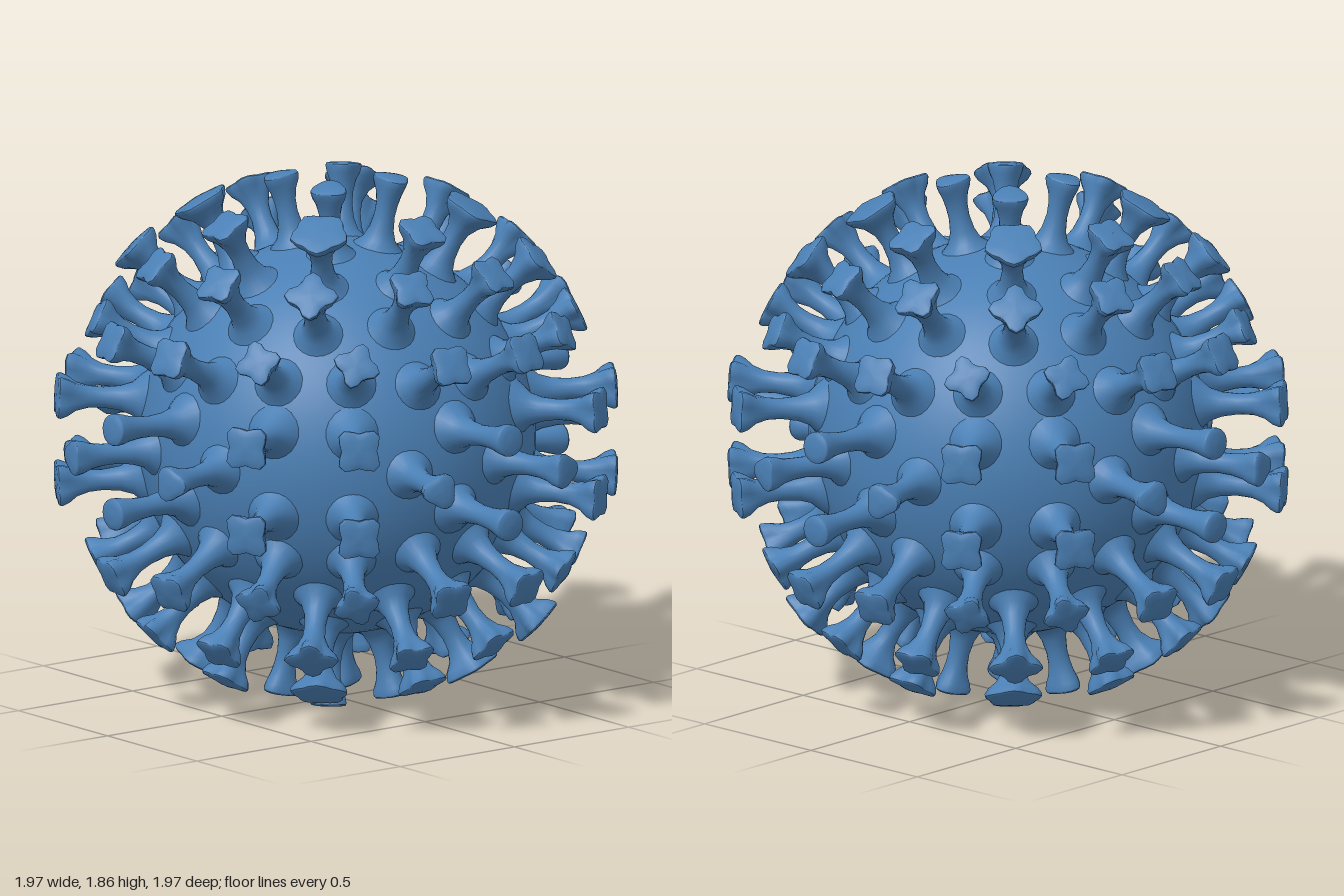
import * as THREE from 'three';
import { mergeGeometries } from 'three/addons/utils/BufferGeometryUtils.js';

const CENTRE_Y = 0.93, BODY_R = 0.69, SEG = 20;

// Spike families: tip position from the centre, head radius, corner count,
// corner sharpness, roll in degrees, and how far the root is lifted off the radial line.
const FAMILIES = [
  { name: 'poleSpikes', tip: [0.14, 0.915, 0.14], size: 0.06, lobes: 3, sharp: 0.12, roll: 90 },
  { name: 'crownSpikes', tip: [0.49, 0.81, 0], size: 0.075, lobes: 4, sharp: 0.19, roll: 45 },
  { name: 'broadSpikes', tip: [0.335, 0.82, 0.335], size: 0.095, lobes: 5, sharp: 0.1, roll: -90 },
  { name: 'cornerSpikes', tip: [0.5, 0.65, 0.5], size: 0.078, lobes: 4, sharp: 0.22, roll: 0 },
  { name: 'shoulderSpikes', tip: [0.18, 0.66, 0.66], size: 0.072, lobes: 4, sharp: 0.22, roll: 45 },
  { name: 'upperSpikes', tip: [0.165, 0.42, 0.865], size: 0.073, lobes: 4, sharp: 0.17, roll: 45 },
  { name: 'diagonalSpikes', tip: [0.455, 0.43, 0.7], size: 0.068, lobes: 4, sharp: 0.22, roll: 20 },
  { name: 'roundSpikes', tip: [0, 0.15, 0.98], size: 0.056, lobes: 4, sharp: 0, roll: 0, lift: 0.03 },
  { name: 'sideSpikes', tip: [0.53, 0.155, 0.81], size: 0.076, lobes: 4, sharp: 0.19, roll: 45, lift: 0.03 },
  { name: 'pointedSpikes', tip: [0.275, 0, 0.945], size: 0.058, lobes: 3, sharp: 0.15, roll: 0 },
];

// Rows of [distance along the spike 0..1, stem radius, blend towards the head outline]
const SIDE = [
  [-0.2, 0.13, 0], [0.0, 0.085, 0], [0.1, 0.058, 0], [0.25, 0.043, 0], [0.45, 0.036, 0],
  [0.62, 0.037, 0.05], [0.77, 0.038, 0.35], [0.87, 0.038, 0.8], [0.95, 0.038, 1], [0.98, 0.038, 0.98],
];
const CAP = [[0.98, 0.038, 0.98], [1.0, 0.036, 0.86], [1.015, 0.018, 0.4], [1.02, 0.0001, 0]];

// Skin a stack of rings around a spike axis
function loft(rows, place) {
  const pos = [], idx = [];
  rows.forEach((row, j) => {
    for (let i = 0; i < SEG; i++) {
      pos.push(...place(row, (i / SEG) * Math.PI * 2).toArray());
      if (j === 0) continue;
      const n = (i + 1) % SEG, a = (j - 1) * SEG, b = j * SEG;
      idx.push(a + i, a + n, b + n, a + i, b + n, b + i);
    }
  });
  const g = new THREE.BufferGeometry();
  g.setAttribute('position', new THREE.Float32BufferAttribute(pos, 3));
  g.setIndex(idx);
  g.computeVertexNormals();
  return g;
}

// One spike; mirror flags reflect its head outline with its position
function spike(f, tip, flipU, flipV) {
  const root = tip.clone().setLength(BODY_R - 0.005);
  root.y += (f.lift || 0) * Math.sign(tip.y);
  const axis = tip.clone().sub(root), w = axis.clone().normalize();
  const u = new THREE.Vector3(0, 1, 0).cross(w).normalize();
  const v = w.clone().cross(u);
  const roll = THREE.MathUtils.degToRad(f.roll);
  const place = ([t, stem, blend], angle) => {
    let a = flipU ? Math.PI - angle : angle;
    if (flipV) a = -a;
    const head = f.size * (1 + f.sharp * Math.cos(f.lobes * (a - roll)));
    const r = THREE.MathUtils.lerp(stem, head, blend);
    return root.clone().addScaledVector(axis, t)
      .addScaledVector(u, r * Math.cos(angle)).addScaledVector(v, r * Math.sin(angle));
  };
  return [loft(SIDE, place), loft(CAP, place)];
}

// Repeat a spike over all mirror images and the quarter turn
function family(f) {
  const parts = [], seen = new Set();
  for (const swap of [1, -1]) for (const sx of [1, -1]) for (const sy of [1, -1]) for (const sz of [1, -1]) {
    const [x, y, z] = f.tip;
    const p = swap > 0 ? [x * sx, y * sy, z * sz] : [z * sx, y * sy, x * sz];
    const key = p.map((c) => Math.round(c * 1000) + 0).join();
    if (seen.has(key)) continue;
    seen.add(key);
    parts.push(...spike(f, new THREE.Vector3(...p), swap * sx * sz < 0, sy < 0));
  }
  return mergeGeometries(parts);
}

export function createModel() {
  const group = new THREE.Group();
  group.name = 'spikedSphere';
  const blue = new THREE.MeshStandardMaterial({ color: 0x4a7fb4 });
  blue.name = 'steelBlue';

  const add = (name, geometry) => {
    const mesh = new THREE.Mesh(geometry, blue);
    mesh.name = name;
    mesh.position.y = CENTRE_Y;
    group.add(mesh);
  };

  // Round core
  add('core', new THREE.SphereGeometry(BODY_R, 64, 40));
  // Flared spikes
  for (const f of FAMILIES) add(f.name, family(f));
  return group;
}
